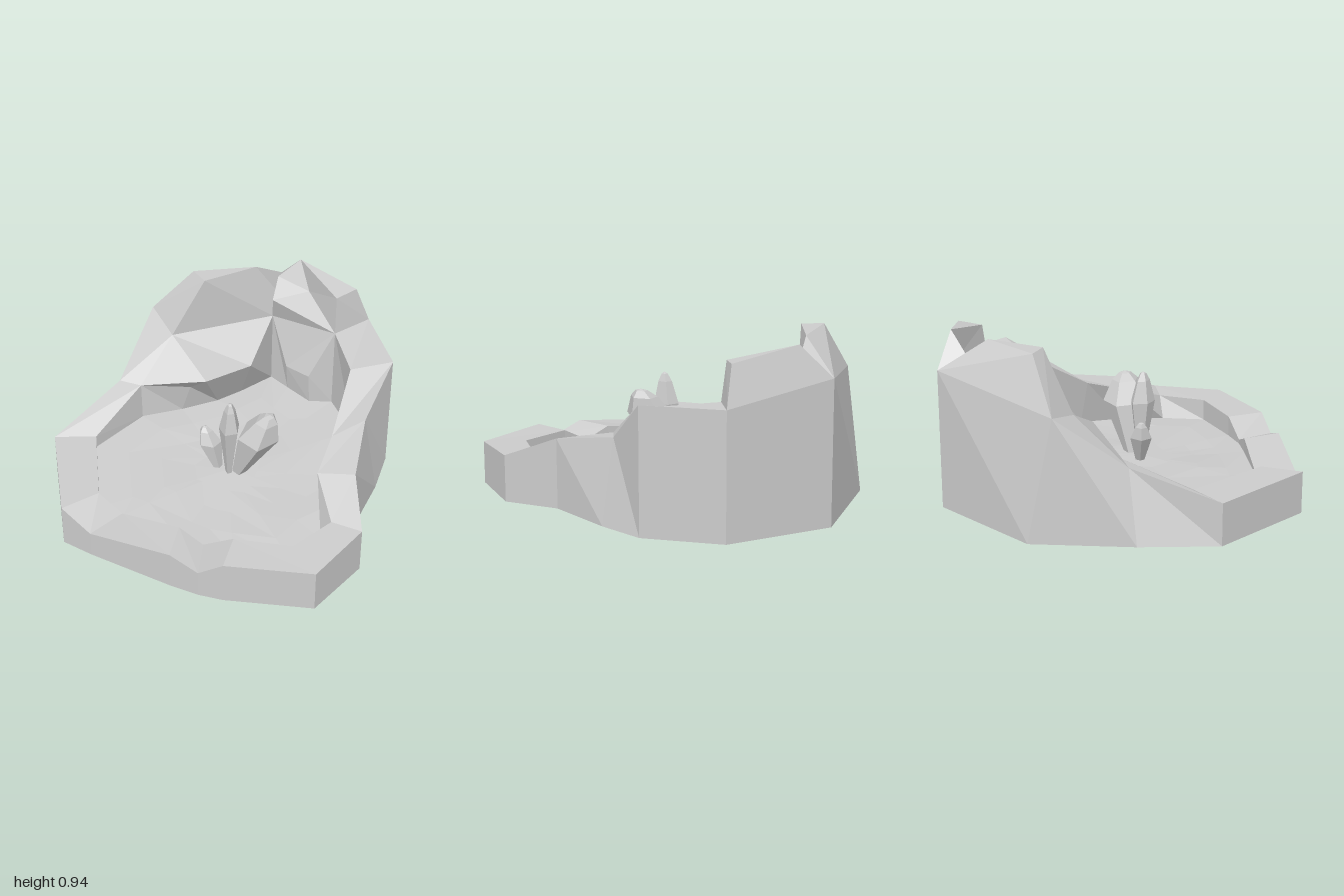
import * as THREE from 'three';

const stone = new THREE.MeshStandardMaterial({ color: 0xcccccc, flatShading: true, side: THREE.DoubleSide });

// Flat-shaded mesh from a list of corner-point triples
function facets(name, tris) {
  const geo = new THREE.BufferGeometry();
  geo.setAttribute('position', new THREE.Float32BufferAttribute(tris.flat(), 3));
  geo.computeVertexNormals();
  const mesh = new THREE.Mesh(geo, stone);
  mesh.name = name;
  return mesh;
}

// Triangulates polygons given as strings of point keys
function patch(name, points, faces) {
  const tris = [];
  for (const f of faces)
    for (let i = 1; i < f.length - 1; i++) tris.push(points[f[0]], points[f[i]], points[f[i + 1]]);
  return facets(name, tris);
}

// Key corners of the two high rocks
const A = [0.29, 0.77, -1], B = [0.8, 0.675, -0.68];
const L = [-0.44, 0.67, -0.73], K = [-0.6, 0.39, -0.38];
const R = [0.61, 0.66, -0.54], V = [0.47, 0.37, -0.52], W = [0.34, 0.36, -0.63], Q = [0.25, 0.615, -0.77];
const C = [0.14, 0.45, -0.49], D = [-0.1, 0.47, -0.29], N = [-0.2, 0.35, -0.4], M = [-0.475, 0.39, -0.34];
const G = [0.25, 0.76, -0.71], F = [0.275, 0.84, -0.84];

// Stations around the basin: [outer top edge, inner lip]
const stations = [
  [[-0.93, 0.235, -0.03], [-0.7, 0.235, -0.05]],
  [[-0.8, 0.235, 0.58], [-0.62, 0.235, 0.44]],
  [[-0.64, 0.145, 0.67], [-0.49, 0.15, 0.5]],
  [[-0.2, 0.21, 0.88], [-0.17, 0.21, 0.66]],
  [[-0.05, 0.15, 0.94], [-0.04, 0.15, 0.72]],
  [[0.08, 0.235, 0.97], [0.12, 0.235, 0.76]],
  [[0.55, 0.235, 1], [0.43, 0.24, 0.8]],
  [[0.78, 0.255, 0.68], [0.62, 0.25, 0.61]],
  [[0.74, 0.38, 0.37], [0.54, 0.355, 0.34]],
  [[0.79, 0.45, -0.02], [0.61, 0.42, 0.1]],
  [[0.93, 0.675, -0.26], [0.7, 0.62, -0.25]],
  [B, R], [B, V], [A, W], [A, Q], [A, C], [L, D], [L, N], [K, M],
];
const FIRST_ROCK = 11, LAST_ROCK = 18;
// Places where the outer wall leans, the inner wall is undercut, and the underside opens wider
const outerLean = { 9: [0.87, 0], 16: [-0.38, -0.85], 17: [-0.38, -0.85], 18: [-0.71, -0.4] };
const innerLean = {
  7: [0.57, 0.6], 8: [0.63, 0.34], 9: [0.69, 0.1], 10: [0.73, -0.27],
  12: [0.48, -0.53], 13: [0.35, -0.65], 14: [0.25, -0.76],
  15: [0.08, -0.6], 16: [-0.05, -0.5], 17: [-0.25, -0.42], 18: [-0.47, -0.33],
};
const holeLean = { 15: [0.1, -0.74], 16: [-0.13, -0.7], 17: [-0.3, -0.54], 18: [-0.46, -0.38] };

const floorY = (x, z) => 0.16 - 0.05 * z + 0.01 * Math.sin(9 * x + 4 * z) * Math.cos(7 * z - 3 * x);

const outerTop = stations.map((s) => s[0]);
const lip = stations.map((s) => s[1]);
// Drops a ring to the ground, moving the listed stations
const ground = (points, lean) => points.map(([x, , z], i) => {
  const [u, v] = lean[i] ?? [x, z];
  return [u, 0, v];
});
const outerFoot = ground(outerTop, outerLean);
const shore = ground(lip, innerLean).map(([x, , z], i) => [x, Math.min(lip[i][1], floorY(x, z)), z]);
const hole = ground(shore, holeLean);

// Strip of quads between two closed rings
function band(a, b, skip = () => false) {
  const tris = [];
  a.forEach((p, i) => {
    const j = (i + 1) % a.length;
    if (!skip(i)) tris.push(p, a[j], b[i], a[j], b[j], b[i]);
  });
  return tris;
}

// Crystal that widens upwards to a blunt tip, sheared so that it leans
function crystal(name, [x, y, z], rx, rz, height, leanX, leanZ, turn) {
  const profile = [[0, 0], [0.3, 0.02], [1, 0.66], [0.55, 0.9], [0.25, 0.98], [0, 1]];
  const geo = new THREE.LatheGeometry(profile.map((p) => new THREE.Vector2(...p)), 5, turn);
  const pos = geo.attributes.position;
  for (let i = 0; i < pos.count; i++) {
    const h = pos.getY(i);
    pos.setXYZ(i, pos.getX(i) * rx + leanX * h, h * height, pos.getZ(i) * rz + leanZ * h);
  }
  geo.computeVertexNormals();
  const mesh = new THREE.Mesh(geo, stone);
  mesh.position.set(x, y, z);
  mesh.name = name;
  return mesh;
}

export function createModel() {
  const group = new THREE.Group();
  group.name = 'rockBasin';

  // Rim: outer wall, deck, inner wall and underside
  group.add(facets('rim', [
    ...band(outerFoot, outerTop),
    ...band(outerTop, lip, (i) => i >= FIRST_ROCK && i < LAST_ROCK),
    ...band(lip, shore),
    ...band(shore, hole),
    ...band(hole, outerFoot),
  ]));

  // Basin floor: uneven rings shrinking to the middle
  const centre = [0.05, 0.1];
  const ring = (t) => shore.map(([x, y, z]) => {
    if (t === 1) return [x, y, z];
    const u = centre[0] + (x - centre[0]) * t, v = centre[1] + (z - centre[1]) * t;
    return [u, floorY(u, v), v];
  });
  const floor = [];
  [1, 0.75, 0.5, 0.25].forEach((t) => floor.push(...band(ring(t), ring(t - 0.25))));
  group.add(facets('basinFloor', floor));

  // Tall rock at the back with its sloping, overhanging ledge
  group.add(patch('tallRock', {
    a: A, l: L, k: K, q: Q, c: C, d: D, n: N, m: M, g: G,
    p: [-0.31, 0.615, -0.53], r: [0.27, 0.78, -0.78],
    t: [-0.2, 0.94, -0.7], u: [-0.13, 0.94, -0.6], v: [0.15, 0.94, -0.77],
  }, ['pdcq', 'pmd', 'mnd', 'pkm', 'plk', 'ltup', 'upqv', 'qrv', 'tvu', 'lat', 'tav', 'var', 'qgr', 'rga']));

  // Thin peak beside it, with a shelf and a slope running down to the floor
  group.add(patch('sidePeak', {
    a: A, b: B, r: R, v: V, w: W, q: Q, g: G, f: F, e: [0.455, 0.78, -0.785],
    x: [0.4, 0.945, -0.86], y: [0.72, 0.885, -0.66], z: [0.61, 0.875, -0.57],
  }, ['bax', 'bxy', 'bzr', 'byz', 'xzy', 'xez', 'ezr', 'gqr', 'gre', 'qwr', 'wvr', 'gef', 'fex', 'fxa', 'gfa']));

  // Crystals spreading from one spot in the basin
  group.add(
    crystal('smallCrystal', [0, 0.12, 0.07], 0.065, 0.06, 0.28, -0.085, -0.045, 0.4),
    crystal('tallCrystal', [0.055, 0.13, 0.11], 0.058, 0.075, 0.505, 0.005, 0.02, 0.9),
    crystal('wideCrystal', [0.1, 0.13, 0.09], 0.115, 0.145, 0.45, 0.175, 0.055, 0),
  );
  return group;
}
